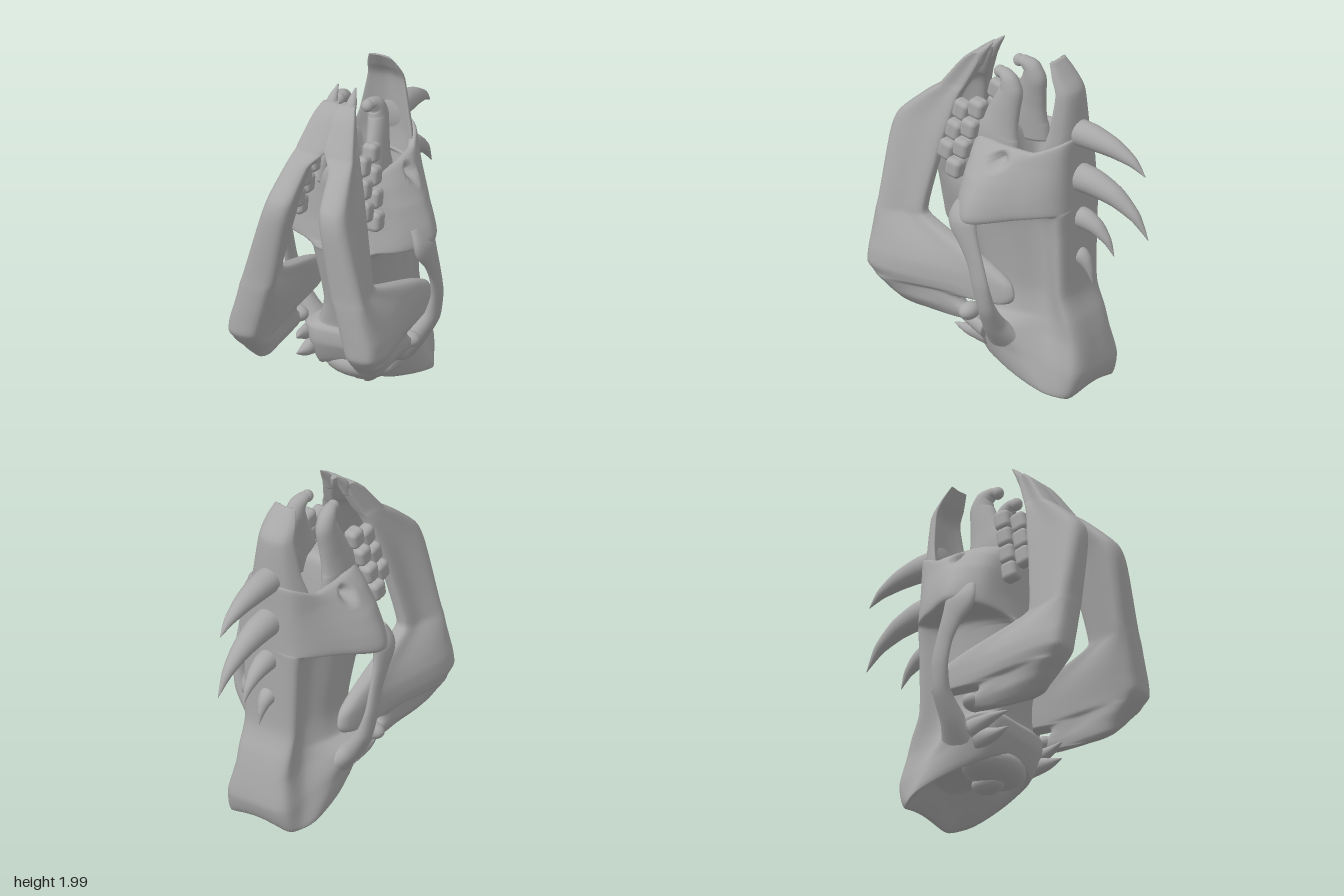
import * as THREE from 'three';
import { RoundedBoxGeometry } from 'three/addons/geometries/RoundedBoxGeometry.js';

const V = (x, y, z) => new THREE.Vector3(x, y, z);
const bone = new THREE.MeshStandardMaterial({ color: 0xa8a8a8 });
bone.name = 'bone';

// Skins a list of closed rings and caps both ends
function loft(rings) {
  const n = rings[0].length, pos = [], idx = [];
  rings.forEach(r => r.forEach(p => pos.push(p.x, p.y, p.z)));
  for (let i = 0; i < rings.length - 1; i++) {
    for (let j = 0; j < n; j++) {
      const a = i * n + j, b = i * n + (j + 1) % n;
      idx.push(a, b, a + n, b, b + n, a + n);
    }
  }
  [0, rings.length - 1].forEach((i, end) => {
    const c = rings[i].reduce((s, p) => s.add(p), V(0, 0, 0)).divideScalar(n);
    const k = pos.length / 3;
    pos.push(c.x, c.y, c.z);
    for (let j = 0; j < n; j++) {
      const a = i * n + j, b = i * n + (j + 1) % n;
      if (end) idx.push(a, b, k); else idx.push(b, a, k);
    }
  });
  // Turn the faces outward when the enclosed volume is negative
  let vol = 0;
  const at = i => V(pos[3 * i], pos[3 * i + 1], pos[3 * i + 2]);
  for (let i = 0; i < idx.length; i += 3) vol += at(idx[i]).dot(at(idx[i + 1]).cross(at(idx[i + 2])));
  if (vol < 0) idx.reverse();
  const g = new THREE.BufferGeometry();
  g.setAttribute('position', new THREE.Float32BufferAttribute(pos, 3));
  g.setIndex(idx);
  g.computeVertexNormals();
  return g;
}

// Blends rows of section parameters into smooth steps
function blend(keys, steps) {
  const out = [], last = keys.length - 1;
  for (let i = 0; i < last; i++) {
    const [a, b, c, d] = [keys[Math.max(i - 1, 0)], keys[i], keys[i + 1], keys[Math.min(i + 2, last)]];
    for (let s = 0; s < steps; s++) {
      const t = s / steps;
      out.push(b.map((q, k) => {
        const m0 = (c[k] - a[k]) / 2 * 0.7, m1 = (d[k] - q) / 2 * 0.7;
        return (2 * t ** 3 - 3 * t * t + 1) * q + (t ** 3 - 2 * t * t + t) * m0
          + (3 * t * t - 2 * t ** 3) * c[k] + (t ** 3 - t * t) * m1;
      }));
    }
  }
  out.push(keys[last]);
  return out;
}

const closed = (pts, n) =>
  new THREE.CatmullRomCurve3(pts, true, 'centripetal').getPoints(n).slice(0, n);

// Sweeps an ellipse along rows of [x, y, z, radius across, radius deep]
function sweep(keys, s = 1, steps = 6, n = 18) {
  const rows = blend(keys, steps);
  return loft(rows.map((r, i) => {
    const p = rows[Math.max(i - 1, 0)], q = rows[Math.min(i + 1, rows.length - 1)];
    const t = V(q[0] - p[0], q[1] - p[1], q[2] - p[2]).normalize();
    const u = V(1, 0, 0).addScaledVector(t, -t.x).normalize(), w = t.clone().cross(u);
    return Array.from({ length: n }, (_, j) => {
      const a = j / n * Math.PI * 2;
      const v = V(r[0], r[1], r[2]).addScaledVector(u, Math.cos(a) * r[3]).addScaledVector(w, Math.sin(a) * r[4]);
      v.x *= s;
      return v;
    });
  }));
}

function skullGeometry() {
  // y, back z, roof half width, waist, widest x, its z, palate half width, front z
  const keys = [
    [0.15, -0.30, 0.10, 0.13, 0.15, -0.10, 0.08, 0.06],
    [0.01, -0.43, 0.20, 0.25, 0.28, -0.27, 0.18, 0.18],
    [0.17, -0.475, 0.20, 0.23, 0.29, -0.12, 0.22, 0.24],
    [0.34, -0.445, 0.17, 0.18, 0.31, 0.0, 0.22, 0.24],
    [0.46, -0.41, 0.17, 0.15, 0.21, -0.02, 0.17, 0.22],
    [0.62, -0.355, 0.17, 0.13, 0.18, -0.02, 0.12, 0.25],
    [0.98, -0.35, 0.18, 0.14, 0.21, 0.02, 0.16, 0.32],
    [1.13, -0.35, 0.19, 0.17, 0.25, 0.05, 0.18, 0.32],
    [1.155, -0.35, 0.19, 0.345, 0.475, 0.10, 0.21, 0.31],
    [1.22, -0.35, 0.18, 0.345, 0.465, 0.10, 0.22, 0.29],
    [1.31, -0.35, 0.17, 0.30, 0.39, 0.07, 0.21, 0.28],
    [1.41, -0.35, 0.16, 0.25, 0.31, 0.02, 0.19, 0.275],
    [1.48, -0.35, 0.14, 0.21, 0.235, -0.05, 0.15, 0.25],
    [1.46, -0.30, 0.12, 0.17, 0.185, -0.06, 0.11, 0.14],
    [1.20, -0.26, 0.09, 0.12, 0.14, -0.06, 0.08, 0.10]];
  const rings = blend(keys, 6).map(([y, zb, xr, xw, xm, zm, xp, zf], i) => {
    const half = [[xr, zb + 0.025], [xw, (zb + zm) / 2], [xm, zm],
      [(xm + xp) / 2 + 0.03, (zm + zf) / 2 + 0.04], [xp, zf - 0.01]];
    const pts = [V(0, y, zb), ...half.map(h => V(h[0], y, h[1])), V(0, y, zf),
      ...half.reverse().map(h => V(-h[0], y, h[1]))];
    const ring = closed(pts, 96);
    // The skull base slopes up forwards and the cheek rim slopes down
    const tilt = y < 0.46 ? 0.28 * (1 - (y / 0.46) ** 2) : -0.18 * Math.max(0, 1 - Math.abs(y - 1.14) / 0.16);
    ring.forEach(p => {
      if (i < 72) p.y += tilt * (p.z + 0.43);
      // Notch between the two lobes of the rear crest
      if (y < 0.2) p.y += 0.05 * Math.max(0, 1 - (p.x / 0.2) ** 2) * (1 - y / 0.2);
      // Saddle at the nose rim, rising towards the nasal bone
      if (y > 1.4) p.y += (y - 1.4) * 8 * Math.max(0, -0.16 - p.z) ** 1.2;
      // Small opening in each cheek
      const d = Math.hypot(p.y - 1.42, p.z - 0.01);
      if (d < 0.055 && Math.abs(p.x) > 0.2) p.x *= 1 - 0.3 * (1 - d / 0.055);
    });
    return ring;
  });
  return loft(rings);
}

function nasalGeometry() {
  // y, half width, back z, side wrap, thickness
  const keys = [[1.38, 0.19, -0.345, 0.15, 0.06], [1.5, 0.185, -0.35, 0.14, 0.05], [1.62, 0.155, -0.35, 0.11, 0.05],
    [1.83, 0.115, -0.335, 0.08, 0.045], [1.92, 0.10, -0.27, 0.05, 0.035], [2.0, 0.07, -0.2, 0.02, 0.015]];
  return loft(blend(keys, 6).map(([y, w, z, d, t]) => closed([
    V(-w, y, z + d), V(-0.75 * w, y, z + d * 0.3), V(0, y, z), V(0.75 * w, y, z + d * 0.3), V(w, y, z + d),
    V(0.6 * w, y, z + t + d * 0.25), V(0, y, z + t), V(-0.6 * w, y, z + t + d * 0.25)], 40)));
}

function jawGeometry(s) {
  // y, inner x, outer x, rear z, front z, rear edge x
  const keys = [
    [1.93, 0.00, 0.10, 0.29, 0.34, 0.05], [1.87, -0.02, 0.13, 0.30, 0.41, 0.06], [1.73, -0.02, 0.17, 0.36, 0.51, 0.10],
    [1.69, 0.01, 0.18, 0.38, 0.54, 0.12], [1.63, 0.065, 0.20, 0.40, 0.62, 0.14], [1.48, 0.085, 0.24, 0.43, 0.775, 0.18],
    [1.35, 0.105, 0.275, 0.46, 0.81, 0.21], [1.00, 0.17, 0.37, 0.52, 0.815, 0.28], [0.92, 0.19, 0.395, 0.48, 0.82, 0.29],
    [0.78, 0.22, 0.44, 0.06, 0.82, 0.32], [0.70, 0.24, 0.465, -0.10, 0.82, 0.33], [0.62, 0.26, 0.475, -0.13, 0.82, 0.335],
    [0.57, 0.27, 0.46, -0.08, 0.79, 0.34], [0.545, 0.275, 0.455, 0.20, 0.77, 0.345], [0.50, 0.28, 0.43, 0.20, 0.73, 0.35],
    [0.46, 0.29, 0.41, 0.13, 0.70, 0.35], [0.41, 0.30, 0.37, 0.18, 0.65, 0.345], [0.39, 0.315, 0.345, 0.40, 0.58, 0.335]];
  return loft(blend(keys, 4).map(([y, xi, xo, zb, zf, xr]) => {
    const m = zf - zb, t = Math.min(0.035, (xo - xi) / 3);
    return closed([V(xi + t, y, zf), V(xo - t, y, zf), V(xo, y, zf - 0.12 * m),
      V(0.35 * xo + 0.65 * (xr + t), y, zf - 0.6 * m), V(xr + t, y, zb + 0.04 * m), V(xr, y, zb), V(xr - t, y, zb + 0.04 * m),
      V(0.35 * xi + 0.65 * (xr - t), y, zf - 0.6 * m), V(xi, y, zf - 0.12 * m)].map(p => p.setX(p.x * s)), 48);
  }));
}

export function createModel() {
  const model = new THREE.Group();
  model.name = 'hornedSkull';
  const add = (name, geo, x = 0, y = 0, z = 0) => {
    const m = new THREE.Mesh(geo, bone);
    m.name = name;
    m.position.set(x, y, z);
    model.add(m);
    return m;
  };
  const ball = (name, x, y, z, rx, ry, rz) =>
    add(name, new THREE.SphereGeometry(1, 24, 16), x, y, z).scale.set(rx, ry, rz);

  add('cranium', skullGeometry());
  add('nasalBone', nasalGeometry());
  ball('occipitalBase', 0, 0.21, 0.06, 0.22, 0.1, 0.16);
  ball('occipitalCondyle', 0, 0.13, 0.02, 0.08, 0.06, 0.1);

  // Row of horns on the midline: base y, base radius, tip z, tip y
  [[1.59, 0.08, -0.8, 1.44], [1.315, 0.085, -0.82, 1.05], [1.065, 0.065, -0.58, 0.88], [0.825, 0.055, -0.43, 0.67]]
    .forEach(([y, r, tz, ty], i) => {
      const dz = tz + 0.32, dy = ty - y;
      add('horn' + (i + 1), sweep([[0, y, -0.28, r, r], [0, y + dy * 0.05, -0.32 + dz * 0.25, r * 0.92, r * 0.92],
        [0, y + dy * 0.22, -0.32 + dz * 0.55, r * 0.7, r * 0.7], [0, y + dy * 0.55, -0.32 + dz * 0.82, r * 0.38, r * 0.38],
        [0, ty, tz, 0.002, 0.002]]));
    });

  for (const [side, s] of [['left', 1], ['right', -1]]) {
    add(side + 'Jaw', jawGeometry(s));
    ball(side + 'JawCondyle', s * 0.35, 0.46, 0.17, 0.075, 0.05, 0.055);

    // Cheek arch from the face to the skull base
    add(side + 'CheekArch', sweep([[0.40, 1.15, 0.13, 0.03, 0.09], [0.445, 1.06, 0.145, 0.04, 0.1],
      [0.46, 0.96, 0.1, 0.03, 0.07], [0.462, 0.84, 0.05, 0.026, 0.055], [0.458, 0.70, 0.015, 0.03, 0.055],
      [0.42, 0.55, 0.0, 0.045, 0.055], [0.33, 0.41, 0.01, 0.06, 0.075], [0.23, 0.29, 0.0, 0.07, 0.13]], s));

    // Hooked front prong of the upper jaw
    add(side + 'Premaxilla', sweep([[0.15, 1.38, 0.13, 0.06, 0.15], [0.14, 1.50, 0.13, 0.06, 0.14],
      [0.13, 1.60, 0.105, 0.055, 0.11], [0.12, 1.69, 0.08, 0.055, 0.09], [0.11, 1.77, 0.06, 0.055, 0.075],
      [0.105, 1.83, 0.075, 0.05, 0.055], [0.095, 1.86, 0.115, 0.04, 0.035], [0.09, 1.86, 0.165, 0.03, 0.03]], s));
    ball(side + 'UpperIncisor', s * 0.09, 1.86, 0.15, 0.035, 0.037, 0.037);

    add(side + 'LowerIncisor', sweep([[0.06, 1.86, 0.33, 0.035, 0.035], [0.06, 1.93, 0.29, 0.03, 0.025],
      [0.055, 2.0, 0.23, 0.004, 0.004]], s));

    // Molars of the skull and of the jaw
    for (let i = 0; i < 4; i++) {
      const t = add(side + 'UpperMolar' + (i + 1), new RoundedBoxGeometry(0.09, 0.115, 0.1, 3, 0.03),
        s * (0.165 + 0.025 * i), 1.63 - 0.123 * i, 0.25 + 0.034 * i);
      t.rotation.x = -0.15;
    }
    for (let i = 0; i < 3; i++) {
      const t = add(side + 'LowerMolar' + (i + 1), new RoundedBoxGeometry(0.08, 0.12, 0.1, 3, 0.03),
        s * (0.165 + 0.025 * i), 1.59 - 0.123 * i, 0.36 + 0.033 * i);
      t.rotation.x = -0.25;
    }

    // Pointed processes beside the skull base
    add(side + 'UpperProcess', sweep([[0.28, 0.34, 0.1, 0.05, 0.06], [0.28, 0.375, 0.24, 0.03, 0.03],
      [0.26, 0.4, 0.34, 0.004, 0.004]], s));
    add(side + 'LowerProcess', sweep([[0.24, 0.29, 0.12, 0.05, 0.07], [0.25, 0.285, 0.25, 0.035, 0.035],
      [0.26, 0.3, 0.34, 0.004, 0.004]], s));
  }
  return model;
}
